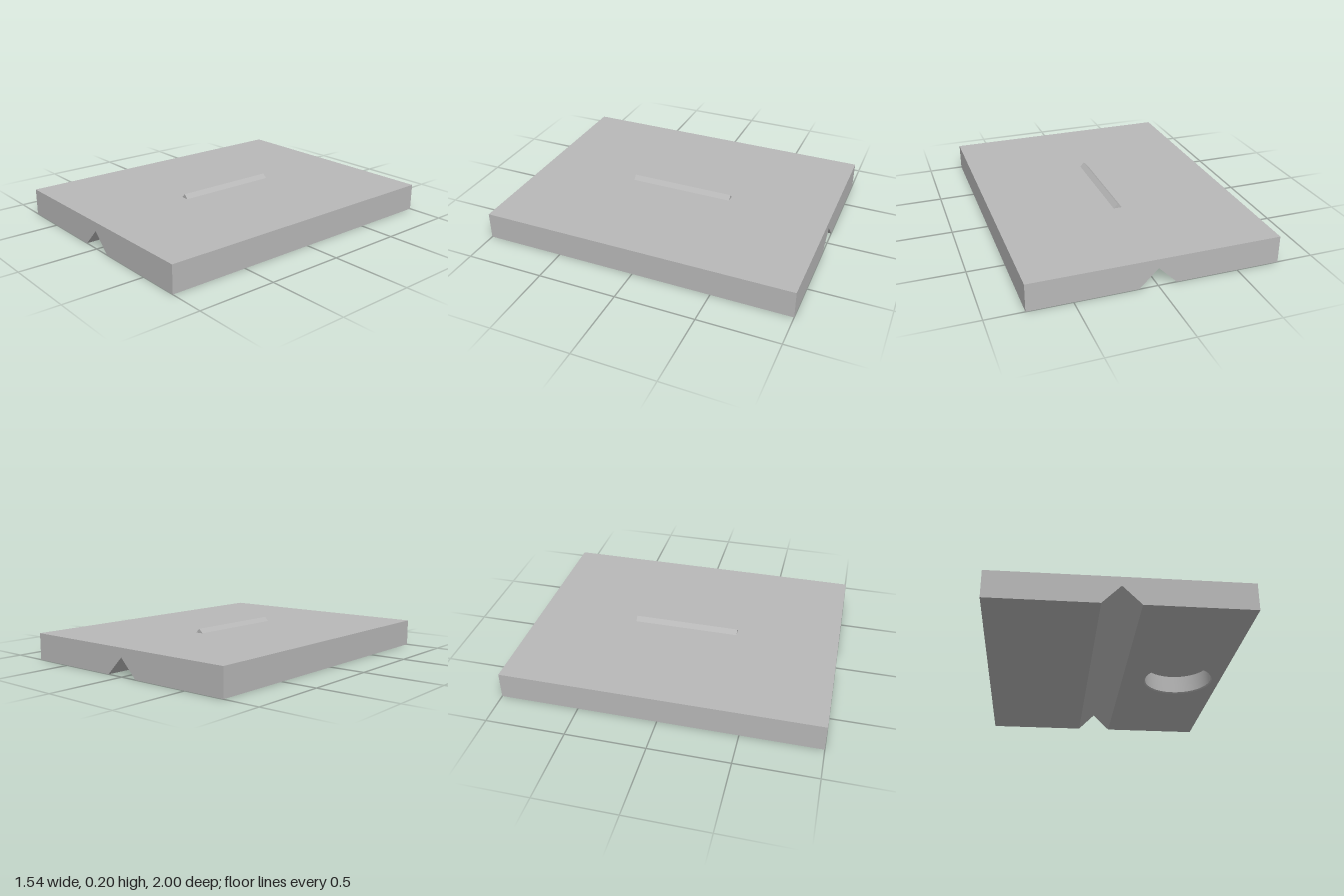
import * as THREE from 'three';
import { mergeGeometries, toCreasedNormals } from 'three/addons/utils/BufferGeometryUtils.js';

const W = 0.77, H = 0.172, D = 1; // half width, height, half depth of the plate
const G = 0.115; // groove half width and height
const HOLE = { x: 0.49, z: 0, rim: 0.228, r: 0.22, depth: 0.125 };
const SEGMENTS = 64;

const flat = (geometry) => {
  const g = geometry.index ? geometry.toNonIndexed() : geometry;
  g.deleteAttribute('uv');
  g.computeVertexNormals();
  return g;
};

// Walls swept along z from a profile; skips the edge replaced by the holed face
function sweepWalls(profile, halfDepth, skip) {
  const pos = [];
  profile.forEach((a, i) => {
    if (i === skip) return;
    const b = profile[(i + 1) % profile.length];
    const [p, q, r, s] = [[a, -1], [b, -1], [b, 1], [a, 1]].map(([v, k]) => [v.x, v.y, k * halfDepth]);
    pos.push(...p, ...q, ...r, ...p, ...r, ...s);
  });
  const g = new THREE.BufferGeometry();
  g.setAttribute('position', new THREE.Float32BufferAttribute(pos, 3));
  return flat(g);
}

export function createModel() {
  const group = new THREE.Group();
  const grey = new THREE.MeshStandardMaterial({ color: 0xb8b8b8 });
  grey.name = 'grey';
  const add = (name, geometry) => {
    const mesh = new THREE.Mesh(geometry, grey);
    mesh.name = name;
    group.add(mesh);
    return mesh;
  };

  // Plate with a V groove along its underside
  const profile = [[-W, 0], [-G, 0], [0, G], [G, 0], [W, 0], [W, H], [-W, H]]
    .map(([x, y]) => new THREE.Vector2(x, y));
  const cap = new THREE.ShapeGeometry(new THREE.Shape(profile));
  const front = flat(cap.clone().translate(0, 0, D));
  const back = flat(cap.clone().rotateY(Math.PI).translate(0, 0, -D));
  add('groovedPlate', mergeGeometries([sweepWalls(profile, D, 3), front, back]));

  // Underside beside the groove, pierced by the round pocket
  const face = new THREE.Shape([[G, -D], [W, -D], [W, D], [G, D]].map(([x, y]) => new THREE.Vector2(x, y)));
  face.holes.push(new THREE.Path().absarc(HOLE.x, HOLE.z, HOLE.rim, 0, Math.PI * 2, true));
  add('piercedUnderside', flat(new THREE.ShapeGeometry(face, SEGMENTS / 2).rotateX(Math.PI / 2)));

  // Blind round pocket with a chamfered rim
  const pocket = [[0, HOLE.depth], [HOLE.r, HOLE.depth], [HOLE.r, 0.008], [HOLE.rim, 0]]
    .map(([r, y]) => new THREE.Vector2(r, y));
  add('roundPocket', toCreasedNormals(new THREE.LatheGeometry(pocket, SEGMENTS), Math.PI / 6))
    .position.set(HOLE.x, 0, HOLE.z);

  // Small triangular ridge on the top
  const ridge = new THREE.Shape([[-0.027, 0], [0.027, 0], [0, 0.027]].map(([x, y]) => new THREE.Vector2(x, y)));
  add('topRidge', new THREE.ExtrudeGeometry(ridge, { depth: 0.684, bevelEnabled: false }))
    .position.set(0, H, -0.342);

  return group;
}
